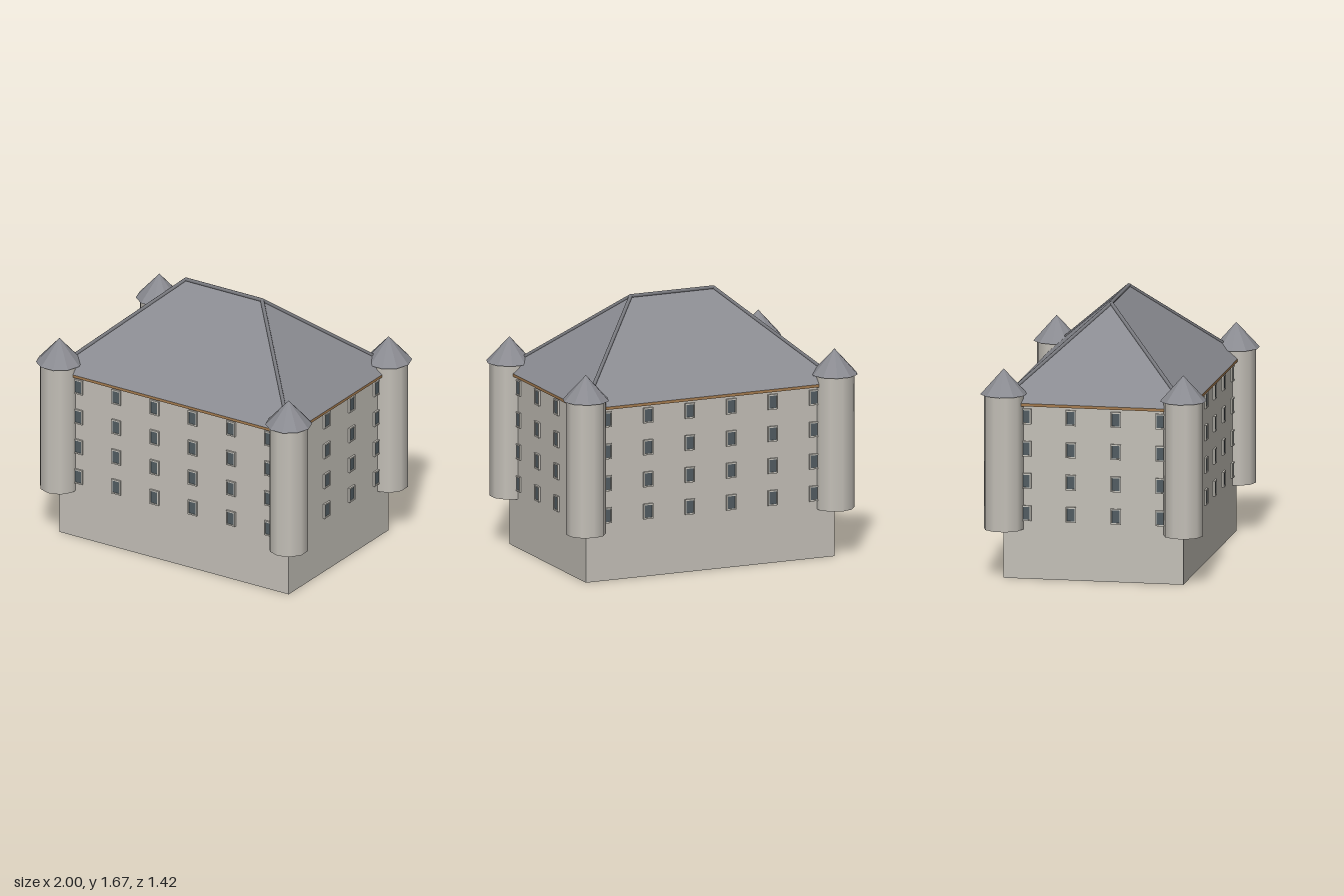
import * as THREE from 'three';

const mat = (name, color, side = THREE.FrontSide) => {
  const m = new THREE.MeshStandardMaterial({ color, side });
  m.name = name;
  return m;
};

export function createModel() {
  const stone = mat('pale stone', 0xc4c0b8, THREE.DoubleSide);
  const slate = mat('slate', 0x8a8b91);
  slate.flatShading = true;
  const capSlate = mat('ridge slate', 0x77787d);
  const timber = mat('eave timber', 0xa57c50);
  const frameStone = mat('window surround', 0xc9c6be);
  const glass = mat('dark glass', 0x525d63);

  const model = new THREE.Group();
  model.name = 'castle';
  const add = (parent, name, geometry, material, x = 0, y = 0, z = 0) => {
    const mesh = new THREE.Mesh(geometry, material);
    mesh.name = name;
    mesh.position.set(x, y, z);
    parent.add(mesh);
    return mesh;
  };

  const HX = 0.852, HZ = 0.57, WALL_TOP = 1.1;   // wall half sizes and height
  const RX = 0.88, RZ = 0.6, EAVE = 1.118;       // roof half sizes and foot
  const RIDGE = 0.283, PEAK = 1.655;

  // Four walls, open at the bottom
  for (const s of [1, -1]) {
    const long = add(model, s > 0 ? 'frontWall' : 'backWall',
      new THREE.PlaneGeometry(HX * 2, WALL_TOP), stone, 0, WALL_TOP / 2, s * HZ);
    long.rotation.y = s > 0 ? 0 : Math.PI;
    const short = add(model, s > 0 ? 'leftWall' : 'rightWall',
      new THREE.PlaneGeometry(HZ * 2, WALL_TOP), stone, s * HX, WALL_TOP / 2, 0);
    short.rotation.y = s * Math.PI / 2;
  }

  // Eave slab under the roof
  add(model, 'eave', new THREE.BoxGeometry(RX * 2, EAVE - WALL_TOP, RZ * 2), timber,
    0, (EAVE + WALL_TOP) / 2, 0);

  // Hipped roof
  const fl = [RX, EAVE, RZ], fr = [-RX, EAVE, RZ], bl = [RX, EAVE, -RZ], br = [-RX, EAVE, -RZ];
  const pl = [RIDGE, PEAK, 0], pr = [-RIDGE, PEAK, 0];
  const roof = new THREE.BufferGeometry();
  roof.setAttribute('position', new THREE.Float32BufferAttribute([
    fr, fl, pl, fr, pl, pr,
    bl, br, pr, bl, pr, pl,
    fl, bl, pl,
    br, fr, pr,
  ].flat(), 3));
  roof.computeVertexNormals();
  add(model, 'roof', roof, slate);

  // Rounded caps along the ridge and hips
  const caps = [[pr, pl], [pl, fl], [pl, bl], [pr, fr], [pr, br]];
  for (const [a, b] of caps) {
    const path = new THREE.LineCurve3(new THREE.Vector3(...a), new THREE.Vector3(...b));
    add(model, 'roofCap', new THREE.TubeGeometry(path, 1, 0.012, 8), capSlate);
  }
  for (const p of [pl, pr]) add(model, 'capJoint', new THREE.SphereGeometry(0.012, 8, 6), capSlate, ...p);

  // Corner turrets with ten-sided pointed roofs
  const shaft = new THREE.CylinderGeometry(0.125, 0.125, 0.86, 10);
  const spire = new THREE.ConeGeometry(0.147, 0.16, 10);
  spire.rotateY(Math.PI / 2);
  for (const sx of [1, -1]) for (const sz of [1, -1]) {
    const turret = new THREE.Group();
    turret.name = 'turret';
    turret.position.set(sx * HX, 0, sz * HZ);
    add(turret, 'turretShaft', shaft, stone, 0, 0.743, 0);
    add(turret, 'turretRoof', spire, slate, 0, 1.25, 0);
    model.add(turret);
  }

  // Windows: a surround with a slightly recessed pane, set through the wall
  const rect = (Type, w, h) => new Type([
    new THREE.Vector2(-w / 2, -h / 2), new THREE.Vector2(w / 2, -h / 2),
    new THREE.Vector2(w / 2, h / 2), new THREE.Vector2(-w / 2, h / 2),
  ]);
  const outline = rect(THREE.Shape, 0.066, 0.098);
  outline.holes.push(rect(THREE.Path, 0.05, 0.08));
  const surround = new THREE.ExtrudeGeometry(outline, { depth: 0.024, bevelEnabled: false });
  surround.translate(0, 0, -0.012);
  const pane = new THREE.BoxGeometry(0.052, 0.082, 0.014);

  const windowWall = (name, width, columns, distance, turn) => {
    const wall = new THREE.Group();
    wall.name = name;
    wall.rotation.y = turn;
    for (let r = 0; r < 4; r++) for (let c = 0; c < columns; c++) {
      const x = ((c + 0.5) / columns - 0.5) * width, y = 0.417 + r * 0.205;
      add(wall, 'windowSurround', surround, frameStone, x, y, distance);
      add(wall, 'windowPane', pane, glass, x, y, distance);
    }
    model.add(wall);
  };
  windowWall('frontWindows', HX * 2, 6, HZ, 0);
  windowWall('backWindows', HX * 2, 6, HZ, Math.PI);
  windowWall('leftWindows', HZ * 2, 4, HX, Math.PI / 2);
  windowWall('rightWindows', HZ * 2, 4, HX, -Math.PI / 2);

  return model;
}
